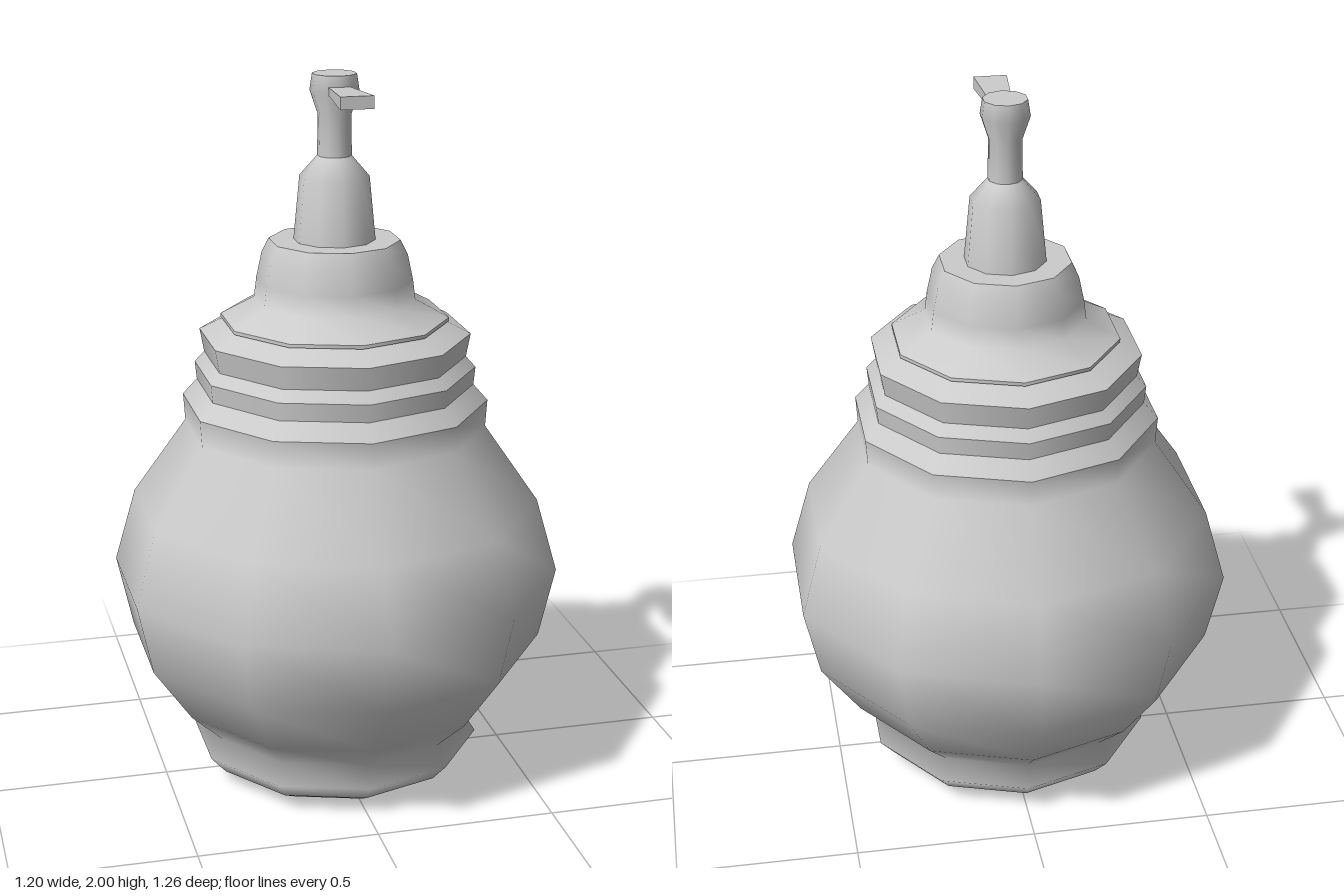
import * as THREE from 'three';

const material = new THREE.MeshStandardMaterial({ color: 0xcccccc });
const SIDES = 10;

// Ten-sided turned part; each run of [radius, y] points is smooth, with a sharp edge between runs
function turned(name, runs) {
  const group = new THREE.Group();
  group.name = name;
  runs.forEach((run, i) => {
    const points = run.map(([r, y]) => new THREE.Vector2(r, y));
    const mesh = new THREE.Mesh(new THREE.LatheGeometry(points, SIDES), material);
    mesh.name = `${name}Surface${i + 1}`;
    group.add(mesh);
  });
  return group;
}

// Cuts a profile into separate straight bands
const bands = (profile) => profile.slice(1).map((p, i) => [profile[i], p]);

export function createModel() {
  const model = new THREE.Group();
  model.name = 'soapDispenser';

  // Round bottle with a flared foot
  model.add(turned('bottle', [[
    [0, 0], [0.29, 0], [0.365, 0.04], [0.41, 0.09], [0.375, 0.145], [0.47, 0.235],
    [0.585, 0.4], [0.63, 0.6], [0.57, 0.81], [0.42, 1.025], [0.425, 1.1],
  ]]));

  // Stepped screw collar
  model.add(turned('collar', bands([
    [0.425, 1.1], [0.385, 1.145], [0.39, 1.195], [0.363, 1.225], [0.375, 1.29], [0.305, 1.325],
  ])));

  // Lid with a thin rim and a domed shoulder
  model.add(turned('lid', [
    [[0.29, 1.322], [0.315, 1.325]],
    [[0.315, 1.325], [0.315, 1.335]],
    [[0.315, 1.335], [0.222, 1.385], [0.215, 1.44], [0.2, 1.51], [0.18, 1.55]],
    [[0.18, 1.55], [0.112, 1.55]],
  ]));

  // Tapered pump sleeve
  model.add(turned('pumpSleeve', [
    [[0.112, 1.55], [0.095, 1.725], [0.047, 1.78]],
  ]));

  // Pump stem and pressing head
  model.add(turned('pumpHead', [
    [[0.047, 1.78], [0.045, 1.89], [0.067, 1.955], [0.06, 2]],
    [[0.06, 2], [0, 2]],
  ]));

  // Flat spout, wider and thicker toward its tip
  const spoutShape = new THREE.BoxGeometry(1, 1, 0.205);
  const pos = spoutShape.attributes.position;
  for (let i = 0; i < pos.count; i++) {
    const tip = pos.getZ(i) > 0;
    pos.setX(i, pos.getX(i) * (tip ? 0.09 : 0.056));
    pos.setY(i, pos.getY(i) * (tip ? 0.034 : 0.02));
  }
  spoutShape.computeVertexNormals();
  const spout = new THREE.Mesh(spoutShape, material);
  spout.name = 'spout';
  spout.position.set(0, 1.96, 0.1425);
  model.add(spout);

  return model;
}
